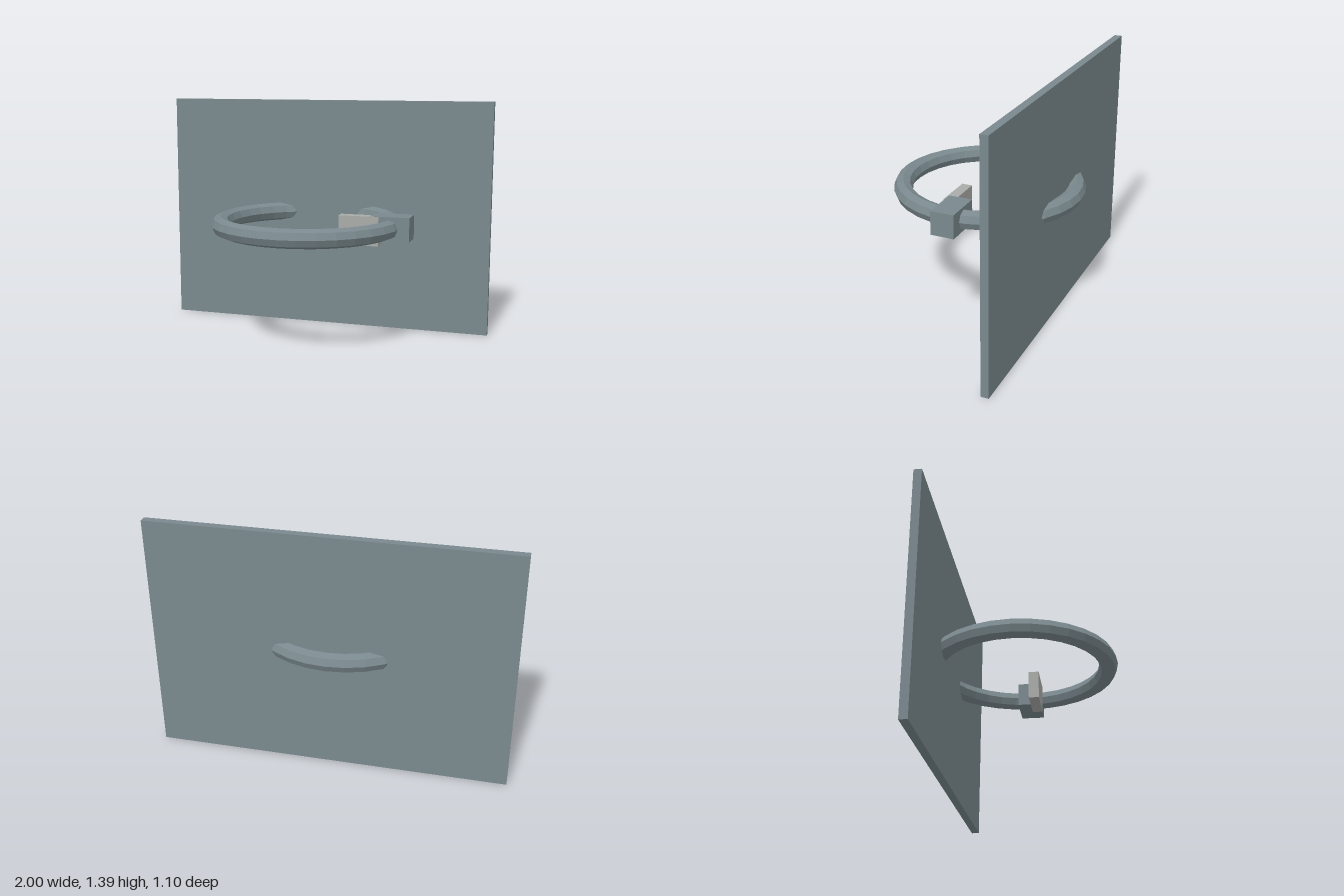
import * as THREE from 'three';

export function createModel() {
  const group = new THREE.Group();
  group.name = 'wallRing';

  const steel = new THREE.MeshStandardMaterial({ color: 0x7a898e, flatShading: true });
  steel.name = 'blue grey steel';
  const pale = new THREE.MeshStandardMaterial({ color: 0xaaaca9, flatShading: true });
  pale.name = 'pale grey';

  // Box given by its extents along each axis
  const addBox = (name, material, [x0, x1], [y0, y1], [z0, z1]) => {
    const mesh = new THREE.Mesh(new THREE.BoxGeometry(x1 - x0, y1 - y0, z1 - z0), material);
    mesh.position.set((x0 + x1) / 2, (y0 + y1) / 2, (z0 + z1) / 2);
    mesh.name = name;
    group.add(mesh);
  };

  // Upright back plate
  addBox('backPlate', steel, [-1, 1], [0, 1.387], [-0.445, -0.4]);

  // Horizontal ring passing through the plate
  const ring = new THREE.Mesh(new THREE.TorusGeometry(0.498, 0.054, 8, 32), steel);
  ring.rotation.x = Math.PI / 2;
  ring.position.y = 0.695;
  ring.name = 'ring';
  group.add(ring);

  // Clamp block on the ring, with a pale tab reaching inwards
  addBox('clampBlock', steel, [0.385, 0.61], [0.628, 0.765], [-0.068, 0.068]);
  addBox('clampTab', pale, [0.208, 0.437], [0.598, 0.764], [0.016, 0.076]);

  return group;
}
